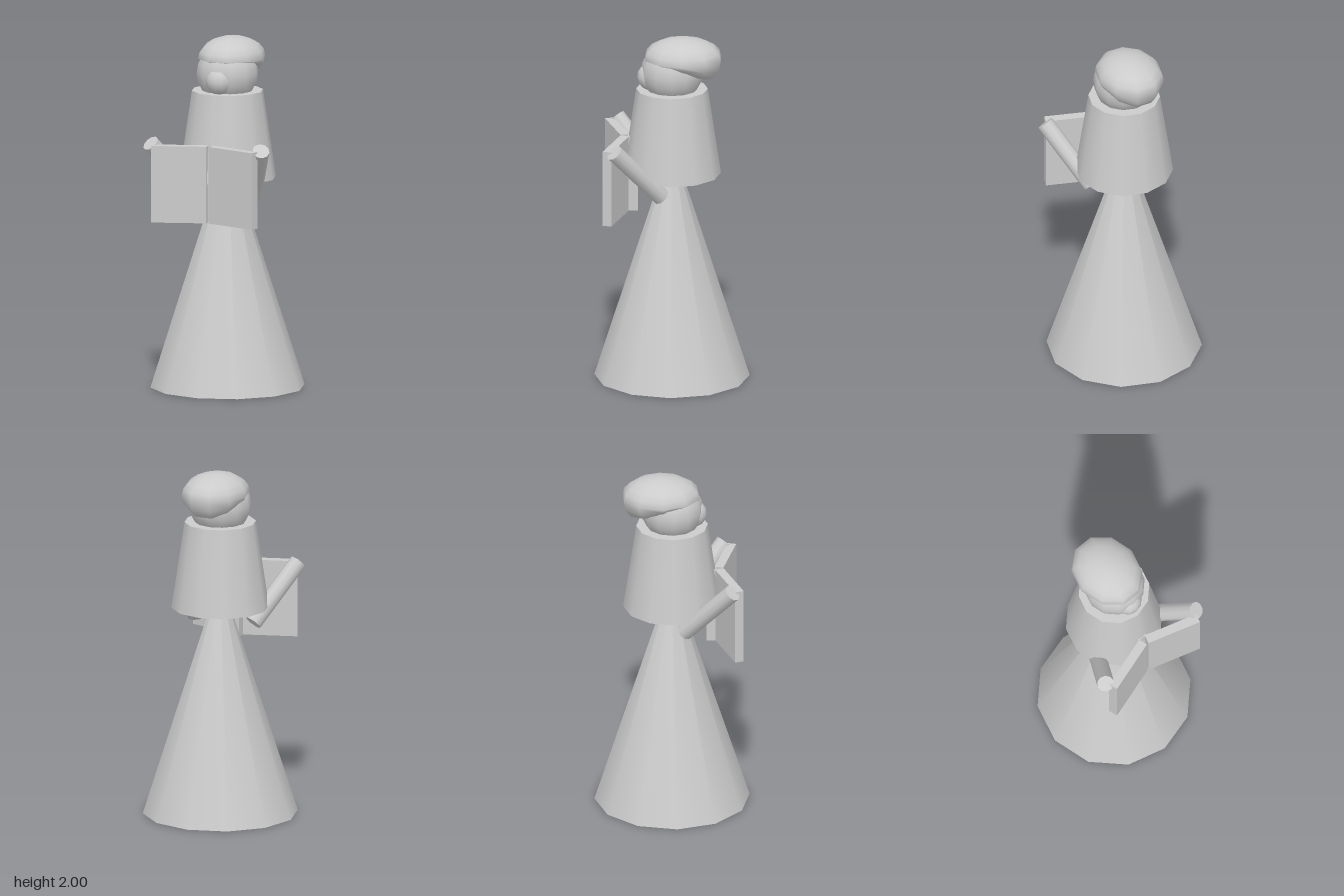
import * as THREE from 'three';

const material = new THREE.MeshStandardMaterial({ color: 0xcccccc });

function part(parent, name, geometry, x, y, z) {
  const mesh = new THREE.Mesh(geometry, material);
  mesh.name = name;
  mesh.position.set(x, y, z);
  parent.add(mesh);
  return mesh;
}

// Flattened cap of hair: domed on top, underside hanging lower toward the back
function hairGeometry() {
  const geo = new THREE.SphereGeometry(1, 10, 10);
  const pos = geo.attributes.position;
  for (let i = 0; i < pos.count; i++) {
    const y = pos.getY(i), z = pos.getZ(i);
    const depth = y > 0 ? 0.12 : Math.max(0.015, 0.07 - 0.13 * z);
    pos.setXYZ(i, pos.getX(i) * 0.187, y * depth, z * 0.226);
  }
  // Average the normals as on a closed ball, so the seam stays smooth
  geo.computeVertexNormals();
  const normal = geo.attributes.normal;
  const sums = new Map();
  const key = (i) => [pos.getX(i), pos.getY(i), pos.getZ(i)].map((v) => Math.round(v * 1e4)).join();
  for (let i = 0; i < pos.count; i++) {
    const sum = sums.get(key(i)) ?? new THREE.Vector3();
    sums.set(key(i), sum.add(new THREE.Vector3().fromBufferAttribute(normal, i)));
  }
  for (let i = 0; i < pos.count; i++) {
    const n = sums.get(key(i)).clone().normalize();
    normal.setXYZ(i, n.x, n.y, n.z);
  }
  return geo;
}

export function createModel() {
  const model = new THREE.Group();
  model.name = 'figureWithBook';

  // Body
  part(model, 'skirt', new THREE.ConeGeometry(0.44, 1.38, 12), 0, 0.69, 0);
  part(model, 'torso', new THREE.CylinderGeometry(0.203, 0.277, 0.5, 12), 0, 1.45, 0);

  // Head
  part(model, 'head', new THREE.SphereGeometry(0.176, 12, 10), 0, 1.8, 0);
  part(model, 'nose', new THREE.SphereGeometry(0.08, 12, 8), 0, 1.77, 0.118);
  part(model, 'hair', hairGeometry(), 0, 1.88, -0.062);

  // Arms and the two halves of the open book
  const up = new THREE.Vector3(0, 1, 0);
  for (const [side, s] of [['left', 1], ['right', -1]]) {
    const elbow = new THREE.Vector3(s * 0.18, 1.112, 0.057);
    const hand = new THREE.Vector3(s * 0.338, 1.423, 0.32);
    const direction = hand.clone().sub(elbow);
    const middle = elbow.clone().add(hand).multiplyScalar(0.5);
    const arm = part(model, side + 'Arm',
      new THREE.CylinderGeometry(0.049, 0.049, direction.length(), 10), middle.x, middle.y, middle.z);
    arm.quaternion.setFromUnitVectors(up, direction.normalize());

    const cover = part(model, side + 'BookHalf',
      new THREE.BoxGeometry(0.318, 0.44, 0.052), s * 0.165, 1.2, 0.314);
    cover.rotation.y = -s * 0.297;
  }
  part(model, 'bookSpine', new THREE.BoxGeometry(0.055, 0.44, 0.055), 0, 1.2, 0.22);

  return model;
}
